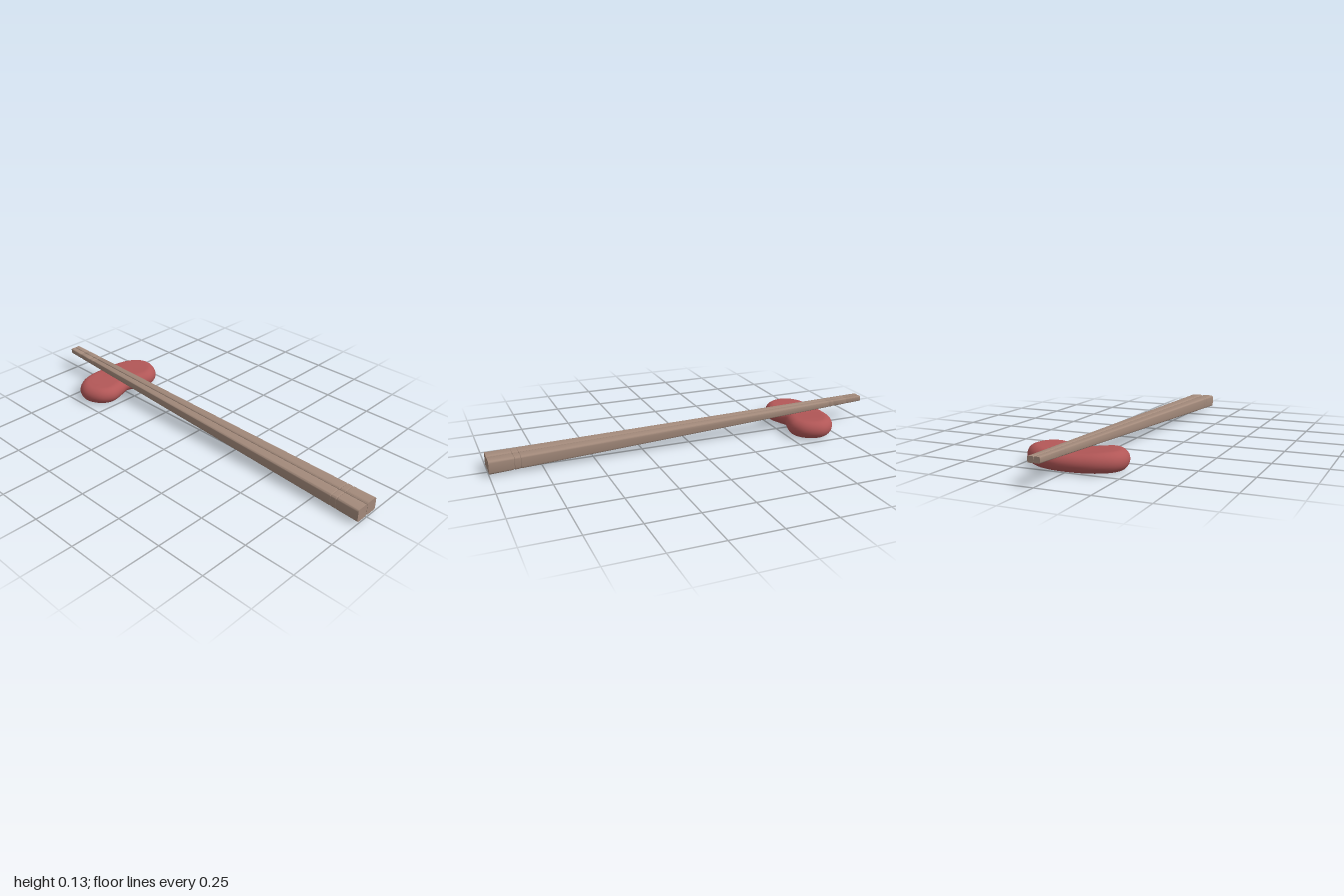
import * as THREE from 'three';
import { toCreasedNormals } from 'three/addons/utils/BufferGeometryUtils.js';

// Skin closed rings of equal length into one surface
function loft(rings) {
  const n = rings[0].length, index = [];
  for (let i = 0; i < rings.length - 1; i++) {
    for (let j = 0; j < n; j++) {
      const k = (j + 1) % n;
      const a = i * n + j, b = a + n, c = i * n + k, d = c + n;
      index.push(a, b, c, b, d, c);
    }
  }
  const g = new THREE.BufferGeometry();
  g.setAttribute('position', new THREE.Float32BufferAttribute(rings.flat(2), 3));
  g.setIndex(index);
  g.computeVertexNormals();
  return g;
}

// Rounded square ring at x; s is the half size, k shrinks it (0 closes the end)
function squareRing(x, y, z, s, k) {
  const ring = [], r = s * 0.32;
  for (let c = 0; c < 4; c++) {
    const mid = Math.PI / 4 + c * Math.PI / 2;
    for (let i = 0; i < 4; i++) {
      const a = c * Math.PI / 2 + i * Math.PI / 6;
      const pz = Math.sign(Math.cos(mid)) * (s - r) + r * Math.cos(a);
      const py = Math.sign(Math.sin(mid)) * (s - r) + r * Math.sin(a);
      ring.push([x, y + py * k, z + pz * k]);
    }
  }
  return ring;
}

// Tapered stick with fine grooves near both ends
function stickGeometry(side) {
  const stations = [[-1, 0], [-1, 1]];
  for (const x of [-0.91, -0.83, -0.80, 0.855, 0.885]) {
    stations.push([x - 0.004, 1], [x - 0.002, 0.95], [x + 0.002, 0.95], [x + 0.004, 1]);
  }
  stations.push([1, 1], [1, 0]);
  const rings = stations.map(([x, k]) => {
    const t = (x + 1) / 2;
    const s = THREE.MathUtils.lerp(0.0135, 0.0328, t);
    const y = THREE.MathUtils.lerp(0.1135, 0.043, t);
    return squareRing(x, y, 0.005 + side * (s + 0.001), s, k);
  });
  return toCreasedNormals(loft(rings), 0.7);
}

// Kidney-shaped rest: rounded rim, flat underside, slightly dished top
function restGeometry() {
  const half = [[-0.51, 0.13], [-0.535, 0.19], [-0.585, 0.225], [-0.645, 0.235],
    [-0.70, 0.21], [-0.745, 0.15], [-0.769, 0.075]];
  const outline = [[-0.548, 0], [-0.530, 0.05], ...half, [-0.775, 0],
    ...half.map(([x, z]) => [x, -z]).reverse(), [-0.530, -0.05]];
  const curve = new THREE.CatmullRomCurve3(
    outline.map(([x, z]) => new THREE.Vector3(x, 0, z)), true);
  const N = 80, samples = [];
  for (let j = 0; j < N; j++) {
    const p = curve.getPointAt(j / N), t = curve.getTangentAt(j / N);
    samples.push({ p, nx: t.z, nz: -t.x });
  }
  // Each step: rim inset, height fraction, pull towards the centre
  const steps = [];
  for (const f of [1, 0.7, 0.4, 0.15]) steps.push([0.045, 0, f]);
  for (let i = 0; i <= 14; i++) {
    const a = -Math.PI / 2 + Math.PI * i / 14;
    steps.push([0.045 * (1 - Math.cos(a)), 0.5 + 0.5 * Math.sin(a), 0]);
  }
  for (const f of [0.15, 0.4, 0.7, 1]) steps.push([0.045, 1, f]);
  return loft(steps.map(([inset, h, f]) => samples.map(({ p, nx, nz }) => {
    const x = THREE.MathUtils.lerp(p.x - nx * inset, -0.66, f);
    const z = (p.z - nz * inset) * (1 - f);
    const top = 0.080 + 0.010 * THREE.MathUtils.smoothstep(Math.abs(z), 0, 0.19);
    return [x, 0.001 + h * top, z];
  })));
}

export function createModel() {
  const wood = new THREE.MeshStandardMaterial({ color: 0xa38a7b });
  wood.name = 'wood';
  const red = new THREE.MeshStandardMaterial({ color: 0xb25757 });
  red.name = 'red glaze';

  const group = new THREE.Group();
  group.name = 'chopsticksOnRest';
  const add = (name, geometry, material) => {
    const mesh = new THREE.Mesh(geometry, material);
    mesh.name = name;
    group.add(mesh);
  };
  add('frontChopstick', stickGeometry(1), wood);
  add('backChopstick', stickGeometry(-1), wood);
  add('chopstickRest', restGeometry(), red);
  return group;
}
